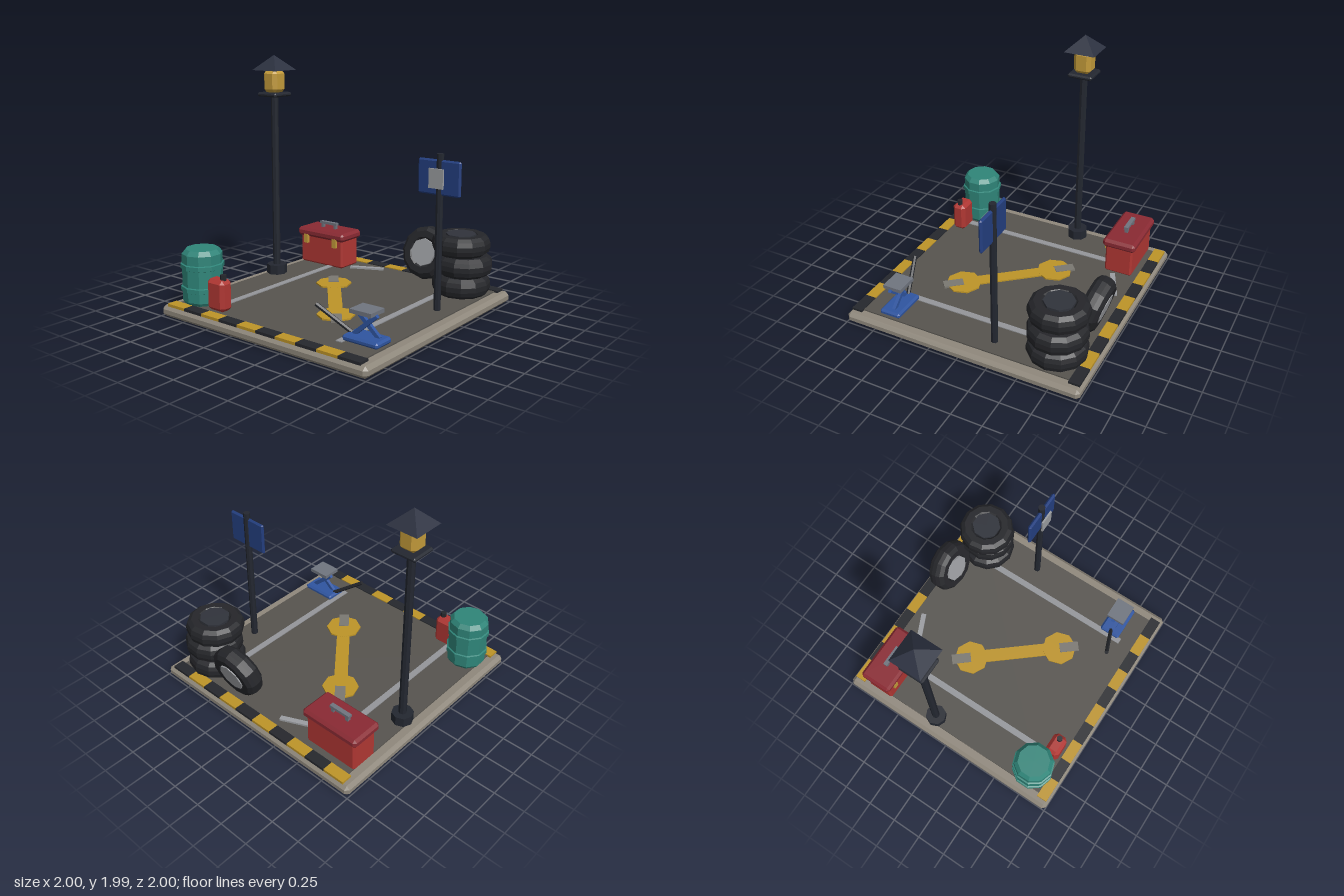
import * as THREE from 'three';
import { ConvexGeometry } from 'three/addons/geometries/ConvexGeometry.js';

const C = {
  kerb: 0x8f887c, asphalt: 0x57544f, line: 0x94969a, yellow: 0xbd9428, black: 0x26282d, iron: 0x232730,
  slate: 0x2c3140, teal: 0x2f8579, red: 0xb03733, darkRed: 0x8a2a33, steel: 0x70757f, silver: 0x9b9da1,
  blue: 0x2f55a0, signBlue: 0x243f80, rubber: 0x25262a, hub: 0x30333b, gold: 0xc29a3a, slot: 0x7b7872,
};
const mats = {};
const mat = (key) => (mats[key] ??= new THREE.MeshStandardMaterial({ color: C[key], flatShading: true }));

function add(parent, name, geometry, key, x = 0, y = 0, z = 0) {
  const mesh = new THREE.Mesh(geometry, mat(key));
  mesh.name = name;
  mesh.position.set(x, y, z);
  parent.add(mesh);
  return mesh;
}

function group(parent, name, x = 0, y = 0, z = 0) {
  const g = new THREE.Group();
  g.name = name;
  g.position.set(x, y, z);
  parent.add(g);
  return g;
}

const box = (w, h, d) => new THREE.BoxGeometry(w, h, d);
const cyl = (r, h, n = 8, top = r) => new THREE.CylinderGeometry(top, r, h, n);

// Box with every edge cut off by c
function chamferBox(w, h, d, c) {
  const pts = [];
  const a = w / 2, b = h / 2, e = d / 2;
  for (const sx of [-1, 1]) for (const sy of [-1, 1]) for (const sz of [-1, 1]) {
    pts.push(
      new THREE.Vector3(sx * a, sy * (b - c), sz * (e - c)),
      new THREE.Vector3(sx * (a - c), sy * b, sz * (e - c)),
      new THREE.Vector3(sx * (a - c), sy * (b - c), sz * e));
  }
  return new ConvexGeometry(pts);
}

const lathe = (profile, n) =>
  new THREE.LatheGeometry(profile.map(([r, y]) => new THREE.Vector2(r, y)), n);

// Straight rod between two points
function rod(parent, name, from, to, r, key) {
  const a = new THREE.Vector3(...from), b = new THREE.Vector3(...to);
  const dir = b.clone().sub(a);
  const mesh = add(parent, name, cyl(r, dir.length(), 6), key);
  mesh.position.copy(a).add(b).multiplyScalar(0.5);
  mesh.quaternion.setFromUnitVectors(new THREE.Vector3(0, 1, 0), dir.normalize());
}

function tyre(parent, name, x, y, z, hubKey) {
  const g = group(parent, name, x, y, z);
  add(g, 'tyreRubber', lathe([
    [0.115, -0.06], [0.135, -0.08], [0.19, -0.08], [0.223, -0.055], [0.235, -0.02],
    [0.235, 0.02], [0.223, 0.055], [0.19, 0.08], [0.135, 0.08], [0.115, 0.06],
  ], 12), 'rubber');
  add(g, 'wheelHub', cyl(0.122, 0.166, 8), hubKey);
  return g;
}

function buildGround(root) {
  const g = group(root, 'ground');
  add(g, 'kerbSlab', chamferBox(2, 0.09, 2, 0.028), 'kerb', 0, 0.045, 0);
  add(g, 'asphalt', box(1.82, 0.04, 1.84), 'asphalt', 0, 0.08, 0);
  for (const s of [-1, 1]) {
    add(g, 'bayLine', box(0.052, 0.01, 1.54), 'line', s * 0.593, 0.102, 0);
    for (let i = 0; i < 10; i++)
      add(g, 'hazardStripe', box(0.188, 0.022, 0.09), i % 2 ? 'black' : 'yellow', -0.846 + i * 0.188, 0.097, s * 0.935);
  }
  // Spanner painted on the ground
  const sp = group(g, 'groundSpanner', -0.003, 0.105, 0.06);
  sp.rotation.y = -Math.atan2(0.595, 0.495);
  add(sp, 'spannerShaft', box(0.6, 0.014, 0.11), 'yellow');
  for (const s of [-1, 1]) {
    add(sp, 'spannerHead', cyl(0.148, 0.016, 8), 'yellow', s * 0.387);
    add(sp, 'spannerSlot', box(0.165, 0.02, 0.085), 'slot', s * 0.475, 0.001, 0);
  }
}

function buildLamp(root) {
  const g = group(root, 'streetLamp', -0.85, 0, -0.19);
  add(g, 'lampBase', cyl(0.087, 0.08), 'iron', 0, 0.14, 0);
  add(g, 'lampPole', cyl(0.032, 1.55), 'iron', 0, 0.875, 0);
  add(g, 'lampShelf', chamferBox(0.21, 0.035, 0.21, 0.012), 'iron', 0, 1.663, 0);
  add(g, 'lantern', chamferBox(0.148, 0.19, 0.148, 0.03), 'gold', 0, 1.772, 0);
  add(g, 'lampRoof', new THREE.ConeGeometry(0.13 * Math.SQRT2, 0.125, 4).rotateY(Math.PI / 4), 'slate', 0, 1.928, 0);
}

function buildSign(root) {
  const g = group(root, 'roadSign', 0.78, 0, -0.215);
  add(g, 'signPole', cyl(0.028, 1.215), 'iron', 0, 0.707, 0);
  add(g, 'signPlate', chamferBox(0.37, 0.27, 0.03, 0.013), 'signBlue', -0.002, 1.135, 0.003);
  add(g, 'signPanel', box(0.125, 0.15, 0.015), 'silver', -0.002, 1.133, 0.052);
}

function buildBarrel(root) {
  const g = group(root, 'barrel', -0.785, 0.1, 0.745);
  add(g, 'barrelBody', lathe([
    [0, 0], [0.145, 0], [0.16, 0.025], [0.16, 0.1], [0.172, 0.105], [0.172, 0.14], [0.16, 0.145],
    [0.16, 0.28], [0.172, 0.285], [0.172, 0.32], [0.16, 0.325], [0.16, 0.4], [0.13, 0.435], [0, 0.435],
  ], 10), 'teal');
}

function buildFuelCan(root) {
  const g = group(root, 'fuelCan', -0.533, 0, 0.81);
  add(g, 'canBody', chamferBox(0.178, 0.248, 0.12, 0.028), 'red', 0, 0.225, 0);
  add(g, 'canCap', cyl(0.025, 0.045, 6), 'black', 0.045, 0.365, 0);
}

function buildToolbox(root) {
  const g = group(root, 'toolbox', -0.69, 0, -0.725);
  add(g, 'boxBody', chamferBox(0.47, 0.27, 0.235, 0.015), 'red', 0, 0.235, 0);
  add(g, 'boxLid', chamferBox(0.52, 0.075, 0.28, 0.022), 'darkRed', 0, 0.382, 0);
  add(g, 'boxHandle', box(0.185, 0.022, 0.036), 'steel', 0, 0.464, 0);
  for (const s of [-1, 1]) {
    add(g, 'handlePost', box(0.025, 0.05, 0.03), 'steel', s * 0.07, 0.435, 0);
    add(g, 'boxLatch', box(0.045, 0.08, 0.03), 'gold', s * 0.16, 0.325, 0.128);
  }
  // Loose bar beside the toolbox
  const bar = add(root, 'looseBar', box(0.3, 0.016, 0.042), 'silver', -0.285, 0.108, -0.757);
  bar.rotation.y = 0.43;
}

function buildTyres(root) {
  const g = group(root, 'tyres');
  const offsets = [[0.705, -0.7], [0.72, -0.705], [0.695, -0.7]];
  offsets.forEach(([x, z], i) => tyre(g, 'stackedTyre', x, 0.182 + i * 0.165, z, 'hub').rotation.y = i * 0.2);
  const lean = tyre(g, 'leaningTyre', 0.3, 0.336, -0.83, 'silver');
  lean.scale.set(0.97, 1, 0.97);
  lean.rotation.x = Math.PI / 2 - 0.27;
}

function buildJack(root) {
  const g = group(root, 'scissorJack', 0.75, 0, 0.653);
  add(g, 'jackBase', chamferBox(0.305, 0.048, 0.18, 0.015), 'blue', 0, 0.127, 0);
  for (const s of [-1, 1]) {
    const arm = add(g, 'jackArm', box(0.26, 0.032, 0.028), 'blue', 0, 0.232, s * 0.014);
    arm.rotation.z = s * 0.72;
  }
  add(g, 'jackPad', box(0.185, 0.03, 0.158), 'steel', 0, 0.332, 0);
  rod(g, 'jackHandle', [-0.38, 0.322, 0.09], [-0.12, 0.14, 0], 0.017, 'black');
}

export function createModel() {
  const root = new THREE.Group();
  root.name = 'garageYard';
  for (const build of [buildGround, buildLamp, buildSign, buildBarrel, buildFuelCan, buildToolbox, buildTyres, buildJack])
    build(root);
  return root;
}
